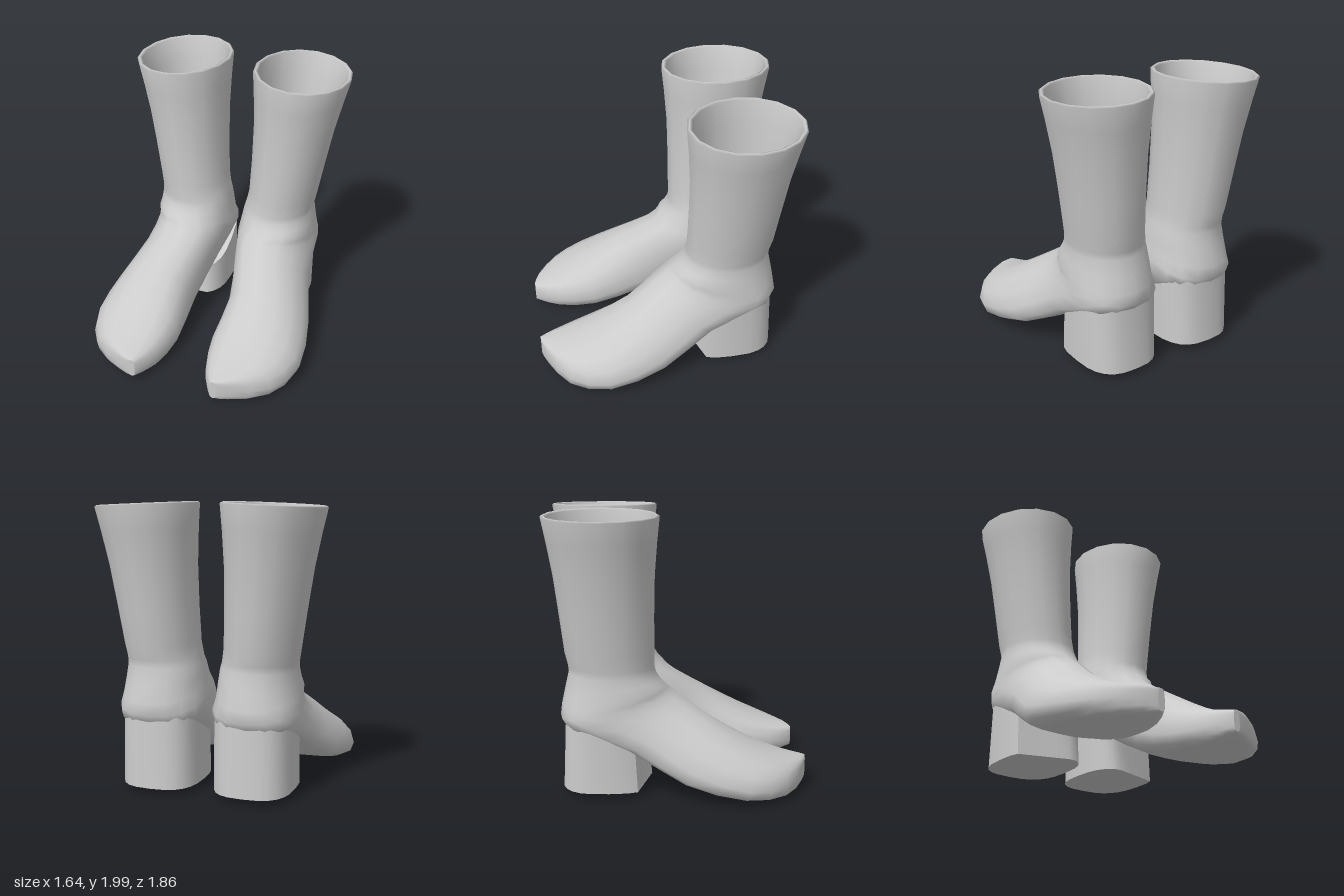
import * as THREE from 'three';
import { toCreasedNormals } from 'three/addons/utils/BufferGeometryUtils.js';

const SIDES = 16;
const material = new THREE.MeshStandardMaterial({ color: 0xcccccc });

// Key cross-sections from cuff to toe tip, turning from lying flat to standing up:
// front/top point (y, z), back/sole point (y, z), x range
const keys = [
  [1.975, -0.13, 1.975, -0.93, 0.10, 0.81],
  [1.57, -0.165, 1.57, -0.86, 0.12, 0.72],
  [1.02, -0.17, 1.02, -0.80, 0.105, 0.63],
  [0.87, -0.16, 0.88, -0.775, 0.075, 0.61],
  [0.79, -0.10, 0.64, -0.83, 0.055, 0.635],
  [0.74, -0.05, 0.49, -0.79, 0.04, 0.645],
  [0.66, 0.06, 0.34, -0.36, 0.09, 0.67],
  [0.52, 0.27, 0.13, 0.03, 0.15, 0.775],
  [0.37, 0.52, 0.02, 0.45, 0.135, 0.82],
  [0.27, 0.74, 0.01, 0.75, 0.19, 0.69],
  [0.225, 0.89, 0.04, 0.89, 0.26, 0.46],
  [0.21, 0.93, 0.06, 0.93, 0.29, 0.34],
];

const ramp = (k, from, to) => THREE.MathUtils.clamp((k - from) / (to - from), 0, 1);
const signedPower = (v, power) => Math.sign(v) * Math.pow(Math.abs(v), power);

// Section at position k along the boot; the shaft is oval, the foot is widest low down, the toe is boxy
function sectionAt(k) {
  const last = keys.length - 1;
  const i = Math.min(Math.floor(k), last - 1);
  const key = n => keys[THREE.MathUtils.clamp(n, 0, last)];
  const [fy, fz, by, bz, x0, x1] = key(i).map((v, c) => {
    const next = key(i + 1)[c], t = k - i;
    const m0 = (next - key(i - 1)[c]) / 2, m1 = (key(i + 2)[c] - v) / 2;
    return v + t * m0 + t * t * (3 * (next - v) - 2 * m0 - m1) + t * t * t * (2 * (v - next) + m0 + m1);
  });
  const foot = Math.sin(Math.PI * ramp(k, 4, 10));
  return {
    fy, fz, by, bz, x0, x1,
    power: 1 - 0.15 * ramp(k, 2, 5) - 0.25 * ramp(k, 8, 10),
    low: -0.42 * foot,
    lean: -0.05 * foot,
    tilt: 0.015 * (1 - ramp(k, 0, 1)),
  };
}

// Shrinks a section by a wall thickness, optionally raising it
function inset(r, d, lift = 0) {
  const ay = r.fy - r.by, az = r.fz - r.bz, k = d / Math.hypot(ay, az);
  return {
    ...r, x0: r.x0 + d, x1: r.x1 - d,
    fy: r.fy - ay * k + lift, fz: r.fz - az * k,
    by: r.by + ay * k + lift, bz: r.bz + az * k,
  };
}

// Collapses a section to its centre to close an end
function collapse(r) {
  const x = (r.x0 + r.x1) / 2, y = (r.fy + r.by) / 2, z = (r.fz + r.bz) / 2;
  return { ...r, fy: y, by: y, fz: z, bz: z, x0: x, x1: x, lean: 0 };
}

function ringPoints(r, side) {
  const points = [];
  for (let i = 0; i < SIDES; i++) {
    const t = (i / SIDES) * Math.PI * 2;
    const c = signedPower(Math.cos(t), r.power), s = signedPower(Math.sin(t), r.power);
    const a = (1 + c + r.low * (1 - c * c)) / 2;
    const x = (r.x0 + r.x1) / 2 + s * (r.x1 - r.x0) / 2 + r.lean * Math.max(c, 0) ** 2;
    points.push(side * x, r.by + (r.fy - r.by) * a - r.tilt * s, r.bz + (r.fz - r.bz) * a);
  }
  return points;
}

function loft(rings, side) {
  const index = [];
  for (let j = 0; j < rings.length - 1; j++) {
    for (let i = 0; i < SIDES; i++) {
      const n = (i + 1) % SIDES;
      const a = j * SIDES + i, b = j * SIDES + n, c = a + SIDES, d = b + SIDES;
      if (side > 0) index.push(a, c, b, b, c, d);
      else index.push(a, b, c, b, d, c);
    }
  }
  const geometry = new THREE.BufferGeometry();
  geometry.setAttribute('position',
    new THREE.Float32BufferAttribute(rings.flatMap(r => ringPoints(r, side)), 3));
  geometry.setIndex(index);
  geometry.computeVertexNormals();
  return geometry;
}

// Heel block: rounded outline cut by a slanted breast, its top following the heel seat
function heelGeometry(side) {
  const outline = [];
  for (let i = 0; i < 24; i++) {
    const t = (i / 24) * Math.PI * 2;
    const x = 0.335 + 0.275 * signedPower(Math.cos(t), 0.7);
    const z = -0.495 + 0.335 * signedPower(Math.sin(t), 0.7);
    outline.push(new THREE.Vector2(side * x, -Math.min(z, -0.12 - 0.3 * x)));
  }
  const geometry = new THREE.ExtrudeGeometry(new THREE.Shape(outline), { depth: 1, bevelEnabled: false });
  geometry.rotateX(-Math.PI / 2);
  const p = geometry.attributes.position;
  for (let i = 0; i < p.count; i++) {
    if (p.getY(i) < 0.5) {
      p.setY(i, 0.05);
    } else {
      const z = -0.5 + (p.getZ(i) + 0.5) * 0.92;
      p.setZ(i, z);
      p.setY(i, 0.29 - 0.5 * (z + 0.2));
    }
  }
  return toCreasedNormals(geometry, 0.8);
}

function createBoot(side) {
  const boot = new THREE.Group();
  boot.name = side > 0 ? 'leftBoot' : 'rightBoot';

  // One skin: lining from the toe up to the cuff, over the rim, then outside down to the toe
  const outside = [];
  for (let k = 0; k < keys.length; k += 0.5) outside.push(sectionAt(Math.min(k, keys.length - 1)));
  const lining = outside.slice(0, 19).map(r => inset(r, 0.035)).reverse();
  const rim = inset(outside[0], 0.015, 0.01);
  const rings = [collapse(lining[0]), ...lining, rim, ...outside, collapse(outside.at(-1))];
  const upper = new THREE.Mesh(loft(rings, side), material);
  upper.name = 'upper';

  const heel = new THREE.Mesh(heelGeometry(side), material);
  heel.name = 'heel';

  boot.add(upper, heel);
  return boot;
}

export function createModel() {
  const model = new THREE.Group();
  model.name = 'ankleBoots';
  model.add(createBoot(1), createBoot(-1));
  return model;
}
